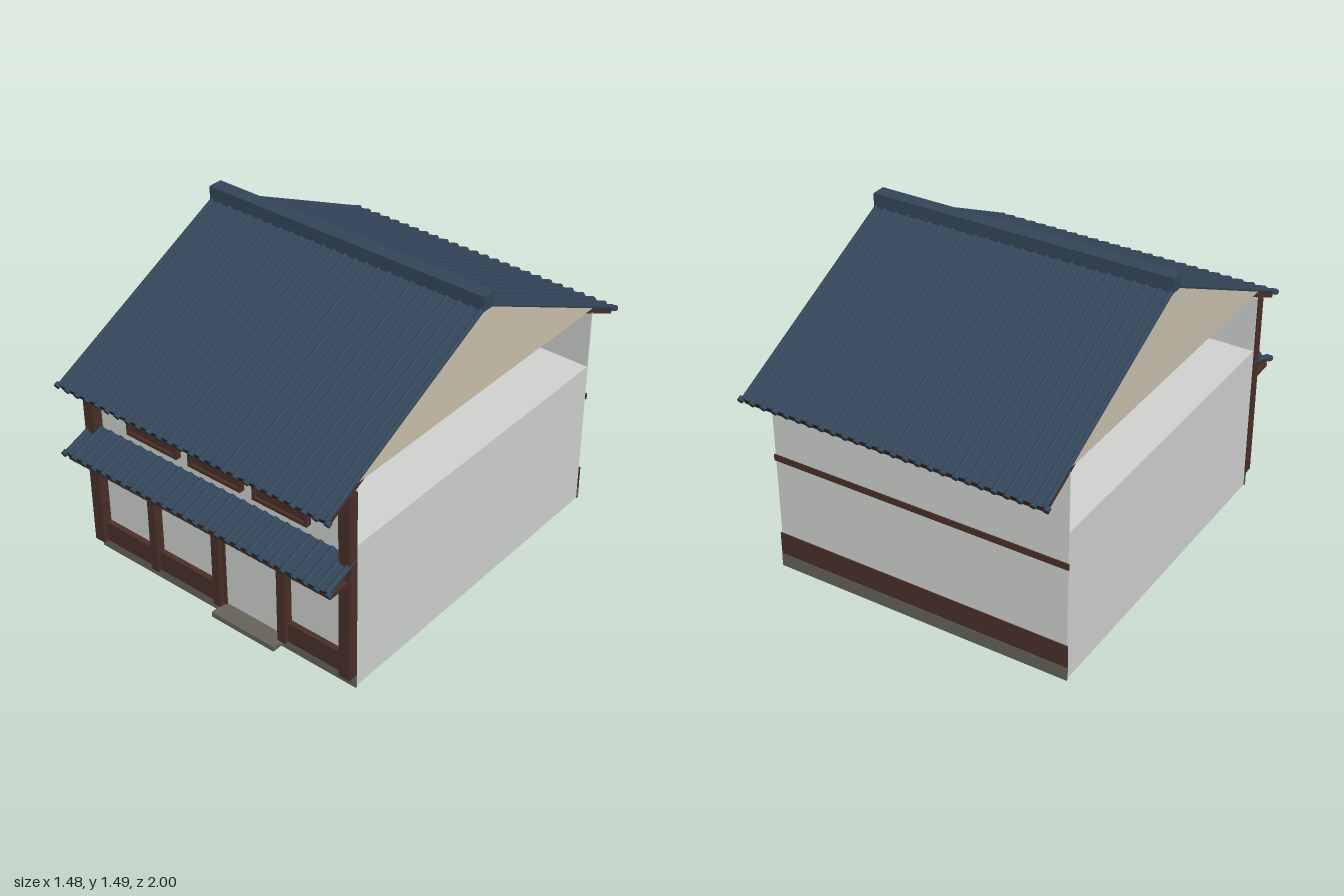
import * as THREE from 'three';

const mat = (name, color, double) => {
  const m = new THREE.MeshStandardMaterial({ color });
  m.name = name;
  if (double) m.side = THREE.DoubleSide;
  return m;
};

export function createModel() {
  const plaster = mat('plaster', 0xd2d4d2, true);
  const gableClay = mat('gable clay', 0xcdc2ae);
  const timber = mat('dark timber', 0x4a3028);
  const tile = mat('blue grey tile', 0x34465a);
  const stone = mat('foundation stone', 0x66645a);

  const model = new THREE.Group();
  model.name = 'townHouse';

  const add = (name, geometry, material, parent = model) => {
    const mesh = new THREE.Mesh(geometry, material);
    mesh.name = name;
    parent.add(mesh);
    return mesh;
  };
  // Box given by its limits along each axis
  const block = (name, material, x0, x1, y0, y1, z0, z1, parent) => {
    const mesh = add(name, new THREE.BoxGeometry(x1 - x0, y1 - y0, z1 - z0), material, parent);
    mesh.position.set((x0 + x1) / 2, (y0 + y1) / 2, (z0 + z1) / 2);
    return mesh;
  };

  // Body: closed lower storey, upper storey walled at front and back only
  block('lowerStorey', plaster, -0.72, 0.72, 0, 0.73, -0.81, 0.81);
  block('upperFrontWall', plaster, -0.72, 0.72, 0.73, 1.0, 0.804, 0.81);
  block('upperBackWall', plaster, -0.72, 0.72, 0.73, 1.01, -0.81, -0.804);
  block('ceiling', plaster, -0.719, 0.719, 1.03, 1.034, -0.81, 0.81);

  // Gable prism
  const triangle = new THREE.Shape();
  triangle.moveTo(-0.82, 1.034).lineTo(0.82, 1.034).lineTo(0, 1.429);
  const gable = add('gable', new THREE.ExtrudeGeometry(triangle, { depth: 1.444, bevelEnabled: false }), gableClay);
  gable.rotation.y = Math.PI / 2;
  gable.position.x = -0.722;

  // Foundation and doorstep
  block('frontFoundation', stone, -0.725, 0.725, 0, 0.065, 0.81, 0.818);
  block('backFoundation', stone, -0.725, 0.725, 0, 0.065, -0.818, -0.81);
  block('doorstep', stone, 0.01, 0.355, 0.04, 0.065, 0.815, 0.9);

  // Back cladding
  block('backSkirting', timber, -0.725, 0.725, 0.065, 0.175, -0.816, -0.81);
  block('backRail', timber, -0.725, 0.725, 0.555, 0.585, -0.816, -0.81);

  // Posts
  for (const s of [-1, 1]) {
    block('cornerPost', timber, s < 0 ? -0.725 : 0.67, s < 0 ? -0.67 : 0.725, 0.065, 0.995, 0.81, 0.86);
  }
  for (const [x0, x1] of [[-0.385, -0.345], [-0.02, 0.017], [0.338, 0.38]]) {
    block('post', timber, x0, x1, 0.065, 0.575, 0.81, 0.855);
  }

  // Lower bays: skirting panel and window head
  for (const [x0, x1] of [[-0.67, -0.385], [-0.345, -0.02], [0.38, 0.67]]) {
    block('skirtingPanel', timber, x0, x1, 0.065, 0.165, 0.81, 0.835);
    block('windowHead', timber, x0, x1, 0.495, 0.54, 0.81, 0.845);
  }

  // Entrance
  block('doorLintel', timber, 0.017, 0.338, 0.43, 0.473, 0.81, 0.845);
  block('door', plaster, 0.026, 0.33, 0.067, 0.43, 0.81, 0.816);
  for (const x of [0.017, 0.33]) block('doorJamb', timber, x, x + 0.009, 0.065, 0.43, 0.81, 0.825);

  // Upper shuttered windows with raised frames
  for (const x of [-0.352, -0.002, 0.348]) {
    const win = new THREE.Group();
    win.name = 'upperWindow';
    model.add(win);
    block('shutter', timber, x - 0.13, x + 0.13, 0.737, 0.95, 0.81, 0.825, win);
    block('frameSill', timber, x - 0.143, x + 0.143, 0.722, 0.737, 0.81, 0.838, win);
    block('frameHead', timber, x - 0.143, x + 0.143, 0.937, 0.95, 0.81, 0.838, win);
    for (const s of [-1, 1]) {
      const c = x + s * 0.1365;
      block('frameSide', timber, c - 0.0065, c + 0.0065, 0.737, 0.937, 0.81, 0.838, win);
    }
  }
  block('upperBeam', timber, -0.67, 0.67, 0.95, 0.99, 0.81, 0.85);

  // Tiled slope running from (z0, y0) down to (z1, y1): board, tile bed, ribs and eave caps
  const slope = (name, z0, y0, z1, y1, boardThickness, r) => {
    const length = Math.hypot(z1 - z0, y1 - y0);
    const group = new THREE.Group();
    group.name = name;
    group.position.set(0, (y0 + y1) / 2, (z0 + z1) / 2);
    group.rotation.x = Math.atan2(y0 - y1, z1 - z0);
    block('roofBoard', timber, -0.718, 0.718, -boardThickness, 0, -length / 2, length / 2, group);
    block('tileBed', tile, -0.724, 0.724, 0, 0.006, -length / 2, length / 2, group);
    const ribGeometry = new THREE.CylinderGeometry(r, r, length, 8).rotateX(Math.PI / 2).toNonIndexed();
    ribGeometry.computeVertexNormals();
    const capGeometry = new THREE.CylinderGeometry(0.014, 0.014, 0.02, 10).rotateX(Math.PI / 2);
    for (let i = 0; i <= 25; i++) {
      const x = -0.725 + i * 0.058;
      const inner = THREE.MathUtils.clamp(x, -0.714, 0.714);
      add('tileRib', ribGeometry, tile, group).position.set(inner, 0.004, 0);
      add('eaveCap', capGeometry, tile, group).position.set(x, 0.001, length / 2 + 0.002);
    }
    return group;
  };

  // Main roof, mirrored front to back
  for (const turn of [0, Math.PI]) {
    const side = new THREE.Group();
    side.name = turn ? 'backRoof' : 'frontRoof';
    side.rotation.y = turn;
    side.add(slope('mainSlope', 0, 1.43, 0.983, 0.95, 0.028, 0.011));
    model.add(side);
  }
  block('ridge', tile, -0.725, 0.725, 1.415, 1.485, -0.035, 0.035);

  // Canopy over the ground floor and the shelf beam under it
  model.add(slope('canopy', 0.812, 0.664, 0.983, 0.603, 0.02, 0.014));
  block('canopyBeam', timber, -0.72, 0.72, 0.566, 0.582, 0.81, 0.97);

  return model;
}
